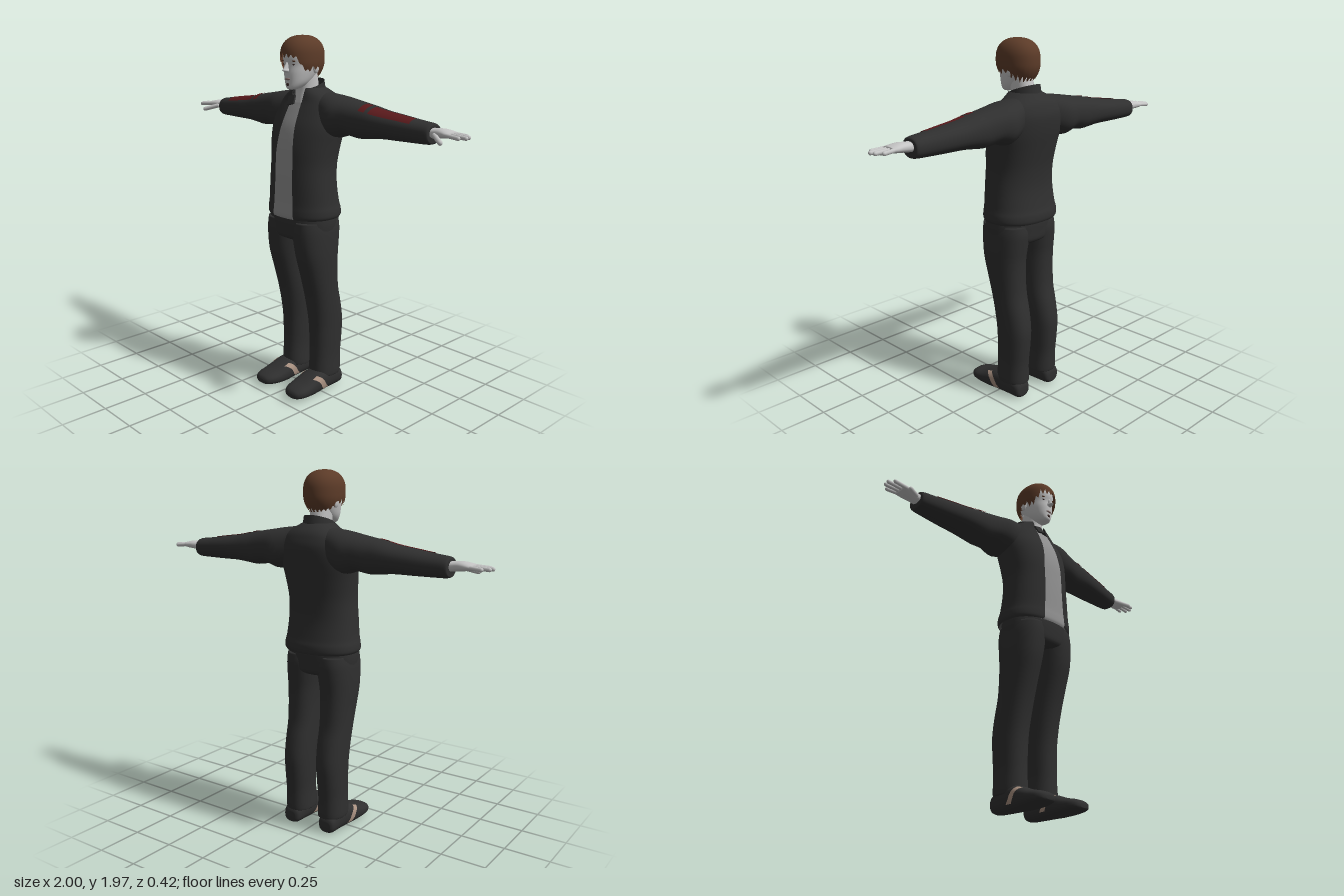
import * as THREE from 'three';
import { mergeVertices } from 'three/addons/utils/BufferGeometryUtils.js';

const mat = (name, color, side = THREE.FrontSide) => {
  const m = new THREE.MeshStandardMaterial({ color, side });
  m.name = name;
  return m;
};
const M = {
  cloth: mat('dark cloth', 0x2f2f2f, THREE.DoubleSide),
  shirt: mat('grey shirt', 0x909090, THREE.DoubleSide),
  skin: mat('pale skin', 0xc4c4c4),
  hair: mat('brown hair', 0x5c3b28, THREE.DoubleSide),
  red: mat('dark red', 0x5a1a1c, THREE.DoubleSide),
  tan: mat('tan strap', 0xa89080, THREE.DoubleSide),
  lips: mat('lips', 0x86706c),
  beard: mat('dark features', 0x3c2c28),
};

// Smooth surface from a rule fn(u, v) with u, v in 0..1; caps close the u ends
function surface(fn, nu, nv, caps = false) {
  const rows = [];
  for (let i = 0; i <= nu; i++) {
    const row = [];
    for (let j = 0; j <= nv; j++) row.push(fn(i / nu, j / nv));
    rows.push(row);
  }
  if (caps) {
    const collapse = row => {
      const c = row.slice(1).reduce((s, p) => s.add(p), new THREE.Vector3()).divideScalar(nv);
      return row.map(() => c);
    };
    rows.unshift(collapse(rows[0]));
    rows.push(collapse(rows[rows.length - 1]));
  }
  const index = [], n = nv + 1;
  for (let i = 0; i < rows.length - 1; i++) for (let j = 0; j < nv; j++) {
    const a = i * n + j, b = a + n;
    index.push(a, b, a + 1, a + 1, b, b + 1);
  }
  // Turn the faces outward from the middle
  const pts = rows.flat(), mid = new THREE.Box3().setFromPoints(pts).getCenter(new THREE.Vector3());
  let volume = 0;
  for (let k = 0; k < index.length; k += 3) {
    const [a, b, c] = [0, 1, 2].map(q => pts[index[k + q]].clone().sub(mid));
    volume += a.dot(b.cross(c));
  }
  if (volume < 0) index.reverse();
  let g = new THREE.BufferGeometry().setFromPoints(pts);
  g.setIndex(index);
  g = mergeVertices(g, 1e-5);
  g.computeVertexNormals();
  return g;
}

// Smoothly interpolated cross-section: [t, min1, max1, min2, max2]
function section(secs, u) {
  const f = u * (secs.length - 1), i = Math.min(Math.floor(f), secs.length - 2), t = f - i;
  const at = k => secs[Math.max(0, Math.min(secs.length - 1, k))];
  return secs[0].map((_, c) => {
    const a = at(i - 1)[c], b = at(i)[c], d = at(i + 1)[c], e = at(i + 2)[c];
    return b + 0.5 * t * (d - a + t * (2 * a - 5 * b + 4 * d - e + t * (3 * (b - d) + e - a)));
  });
}
// Point on a rounded cross-section at angle a, along the given axis
function ringPoint(axis, s, a, n = 2.3, off = 0, side = 1) {
  const pw = q => Math.sign(q) * Math.abs(q) ** (2 / n);
  const p = (s[1] + s[2]) / 2 + ((s[2] - s[1]) / 2 + off) * pw(Math.cos(a));
  const q = (s[3] + s[4]) / 2 + ((s[4] - s[3]) / 2 + off) * pw(Math.sin(a));
  if (axis === 'x') return new THREE.Vector3(s[0] * side, p, q);
  if (axis === 'y') return new THREE.Vector3(p * side, s[0], q);
  return new THREE.Vector3(p * side, q, s[0]);
}
const loft = (axis, secs, side = 1, n = 2.3, nv = 32) => surface(
  (u, v) => ringPoint(axis, section(secs, u), v * Math.PI * 2, n, 0, side), (secs.length - 1) * 4, nv, true);
// Thin painted patch lying on a loft
const patch = (axis, secs, side, uRule, a0, a1, off, n = 2.3) => surface((u, v) => {
  return ringPoint(axis, section(secs, uRule(u, v)), a0 + (a1 - a0) * v, n, off, side);
}, 12, 12);
// Piecewise linear lookup in [[x, y], ...]
function lookup(table, x) {
  for (let i = 1; i < table.length; i++) if (x <= table[i][0]) {
    const [a, b] = [table[i - 1], table[i]];
    return THREE.MathUtils.lerp(a[1], b[1], THREE.MathUtils.clamp((x - a[0]) / (b[0] - a[0]), 0, 1));
  }
  return table[table.length - 1][1];
}

// y, half width, front z, back z
const TORSO = [[1.015, .205, .145, -.175], [1.03, .213, .15, -.181], [1.06, .212, .149, -.18], [1.1, .204, .146, -.17],
  [1.2, .195, .144, -.157], [1.3, .19, .14, -.162], [1.4, .2, .132, -.18], [1.5, .213, .108, -.2], [1.58, .203, .072, -.207],
  [1.63, .182, .047, -.195], [1.66, .148, .038, -.18], [1.685, .105, .033, -.155], [1.7, .08, .03, -.135]]
  .map(([y, w, f, b]) => [y, -w, w, b, f]);
const HIPS = [[.89, -.12, .12, -.12, .1], [.91, -.185, .185, -.145, .13], [.96, -.199, .199, -.152, .138],
  [1.02, -.198, .198, -.155, .138], [1.06, -.185, .185, -.14, .128]];
const LEG = [[.085, .035, .178, -.16, .015], [.1, .033, .185, -.165, .025], [.2, .038, .182, -.166, .02], [.3, .034, .184, -.175, .02],
  [.4, .03, .186, -.18, .025], [.5, .026, .188, -.165, .04], [.6, .024, .19, -.142, .062], [.7, .022, .194, -.134, .09],
  [.8, .016, .199, -.134, .118], [.88, .007, .2, -.143, .13], [.95, 0, .198, -.15, .134], [1, .01, .19, -.145, .13]];
const ARM = [[.1, 1.5, 1.68, -.17, .01], [.2, 1.452, 1.668, -.203, .042], [.28, 1.47, 1.655, -.196, .024], [.36, 1.461, 1.642, -.188, .012],
  [.42, 1.466, 1.632, -.186, .006], [.5, 1.474, 1.615, -.184, -.003], [.6, 1.475, 1.602, -.179, -.016],
  [.7, 1.476, 1.589, -.17, -.03], [.78, 1.478, 1.58, -.162, -.042], [.795, 1.487, 1.57, -.153, -.052]];
const PALM = [[.77, 1.508, 1.56, -.135, -.065], [.81, 1.512, 1.56, -.134, -.064], [.85, 1.516, 1.562, -.14, -.056],
  [.885, 1.52, 1.557, -.143, -.05], [.91, 1.524, 1.551, -.138, -.055]];
const SHOE = [[-.166, .09, .15, .02, .07], [-.15, .068, .17, .004, .1], [-.08, .06, .176, 0, .13], [0, .05, .186, 0, .128],
  [.06, .042, .193, 0, .108], [.12, .044, .195, .004, .086], [.17, .055, .19, .01, .074], [.2, .075, .172, .016, .062], [.211, .1, .146, .026, .046]];
const NECK = [[1.57, -.06, .06, -.11, .04], [1.64, -.054, .054, -.105, .032], [1.7, -.053, .053, -.1, .03], [1.78, -.056, .056, -.085, .05]];
const HEAD = [[1.694, -.018, .018, .055, .092], [1.705, -.036, .036, .01, .103], [1.735, -.057, .057, -.04, .106], [1.78, -.071, .071, -.085, .109],
  [1.82, -.078, .078, -.108, .107], [1.86, -.081, .081, -.112, .114], [1.9, -.079, .079, -.105, .107], [1.94, -.055, .055, -.07, .07]];
const NOSE = [[1.835, -.006, .006, .08, .111], [1.805, -.01, .01, .08, .132], [1.793, -.015, .015, .08, .139], [1.783, -.011, .011, .08, .118]];

export function createModel() {
  const root = new THREE.Group();
  const add = (name, geo, material) => {
    const m = new THREE.Mesh(geo, material);
    m.name = name;
    root.add(m);
    return m;
  };
  const blob = (name, material, pos, size, rotZ = 0) => {
    const m = add(name, new THREE.SphereGeometry(1, 16, 12), material);
    m.position.set(...pos);
    m.scale.set(...size);
    m.rotation.z = rotZ;
  };

  // Open jacket: each ring runs from one front edge round the back to the other
  const edge = [[1.02, .078], [1.2, .066], [1.35, .066], [1.5, .052], [1.62, .042], [1.7, .045]];
  const edgeAngle = (s, x) => Math.acos((x / s[2]) ** 1.15);
  add('jacketBody', surface((u, v) => {
    const s = section(TORSO, u), a = edgeAngle(s, lookup(edge, s[0]));
    return ringPoint('y', s, a + v * (-Math.PI - 2 * a));
  }, 52, 48), M.cloth);
  add('shirt', surface((u, v) => {
    const s = section(TORSO, u * .74), a = edgeAngle(s, .1);
    return ringPoint('y', s, a + v * (Math.PI - 2 * a), 2.3, -.003);
  }, 40, 12), M.shirt);

  // Standing collar, higher at the back, with a turned flap
  add('collar', surface((u, v) => {
    const a = THREE.MathUtils.lerp(1.0, -Math.PI - 1.0, v), back = (1 - Math.sin(a)) / 2;
    const r = 1 - .1 * u;
    return new THREE.Vector3(.086 * r * Math.cos(a), 1.655 + .025 * back + u * (.035 + .028 * back), -.05 + .092 * r * Math.sin(a));
  }, 6, 36), M.cloth);
  const flap = add('collarFlap', new THREE.BoxGeometry(.05, .05, .009), M.cloth);
  flap.position.set(-.026, 1.636, .054);
  flap.rotation.set(-.45, -.1, .2);

  add('trouserHips', loft('y', HIPS), M.cloth);
  for (const s of [1, -1]) {
    const side = s > 0 ? 'left' : 'right';
    add(side + 'TrouserLeg', loft('y', LEG, s), M.cloth);
    add(side + 'Shoe', loft('z', SHOE, s, 2.5), M.cloth);
    // Diagonal straps on both flanks of the shoe
    const strap = (u, v) => (2.85 + 1.15 * v + (u - .5) * .55) / 8;
    add(side + 'ShoeOuterStrap', patch('z', SHOE, s, strap, -.5, 1.0, .003, 2.5), M.tan);
    add(side + 'ShoeInnerStrap', patch('z', SHOE, s, strap, Math.PI + .5, Math.PI - 1.0, .003, 2.5), M.tan);

    // Sleeve with a long and a short red block on its upper front
    add(side + 'Sleeve', loft('x', ARM, s), M.cloth);
    add(side + 'SleeveLongBlock', patch('x', ARM, s, u => (4.4 + u * 2.5) / 9, .02, .9, .003), M.red);
    add(side + 'SleeveShortBlock', patch('x', ARM, s, u => (3.5 + u * .6) / 9, .02, .9, .003), M.red);

    // Hand with spread fingers and lowered thumb
    add(side + 'Palm', loft('x', PALM, s), M.skin);
    const finger = (name, from, to, r) => {
      const a = new THREE.Vector3(...from), b = new THREE.Vector3(...to);
      a.x *= s; b.x *= s;
      const d = b.clone().sub(a), len = d.length();
      const m = add(side + name, new THREE.CapsuleGeometry(r, len - r, 5, 10), M.skin);
      m.position.copy(a).add(b).multiplyScalar(.5);
      m.quaternion.setFromUnitVectors(new THREE.Vector3(0, 1, 0), d.normalize());
    };
    [[.972, -.06, -.05], [.995, -.083, -.078], [.99, -.106, -.107], [.962, -.129, -.135]].forEach(([x, z0, z1], i) =>
      finger('Finger' + (i + 1), [.885, 1.539, z0], [x, 1.533, z1], .0105));
    finger('Thumb', [.82, 1.532, -.068], [.898, 1.507, -.014], .0125);

    // Paired features of the face
    blob(side + 'Ear', M.skin, [s * .084, 1.808, -.018], [.011, .032, .02]);
    blob(side + 'Eye', M.beard, [s * .032, 1.824, .096], [.013, .004, .004]);
    blob(side + 'Brow', M.hair, [s * .034, 1.842, .099], [.018, .004, .005], s * -.08);
  }

  add('neck', loft('y', NECK), M.skin);
  add('head', loft('y', HEAD, 1, 2.1), M.skin);
  add('nose', loft('y', NOSE, 1, 2, 16), M.skin);
  blob('lips', M.lips, [0, 1.749, .106], [.02, .006, .006]);
  blob('chinBeard', M.beard, [0, 1.722, .104], [.011, .008, .005]);

  // Hair: a rounded dome with a jagged hem, short over the brow and longer behind
  const hem = [[-1, 1.76], [-.4, 1.775], [0, 1.81], [.4, 1.79], [.65, 1.825], [.8, 1.862], [1, 1.868]];
  add('hair', surface((u, v) => {
    const a = v * Math.PI * 2, k = Math.round(v * 96);
    const low = lookup(hem, Math.sin(a)) + [-.012, 0, .012, 0][k % 4] + .006 * Math.sin(k * 1.7);
    const t = Math.min(u / .6, 1) * Math.PI / 2;
    const top = 1.862 + .108 * Math.cos(t) ** .85;
    const y = u <= .6 ? Math.max(top, low) : THREE.MathUtils.lerp(Math.max(1.862, low), low, (u - .6) / .4);
    const r = Math.sin(t) ** .85 * (1 - .25 * (Math.max(0, 1.84 - y) / .08) ** 2);
    return ringPoint('y', [y, -.1 * r, .1 * r, -.125 * r, .125 * r], a, 2.15);
  }, 20, 96), M.hair);
  return root;
}
